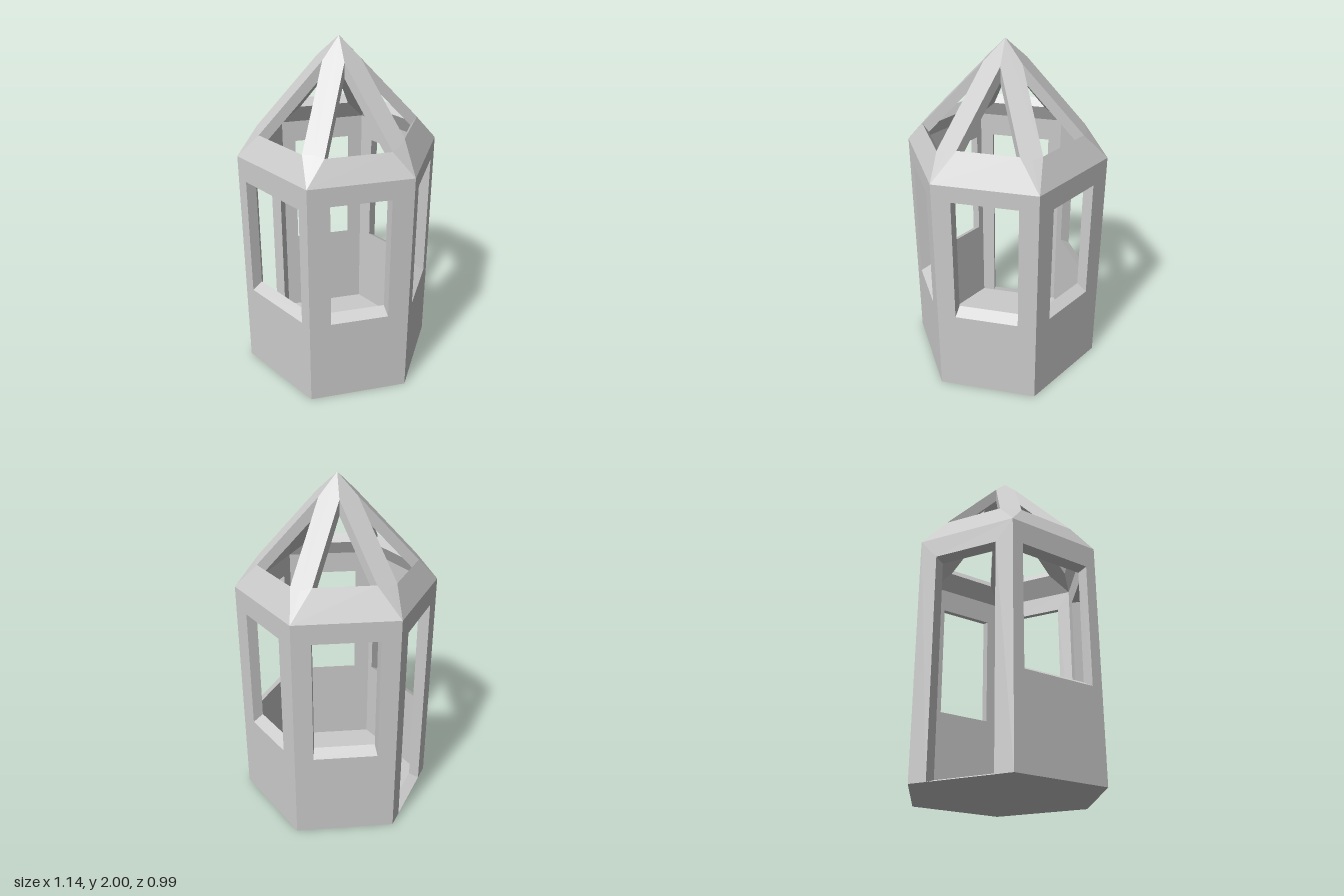
import * as THREE from 'three';

const R = 0.57, T = 0.06;            // hexagon radius, wall thickness
const D = R * Math.cos(Math.PI / 6); // distance from the axis to a wall
const EAVES = 1.37, APEX = 2, PITCH = 1.09, RIB = 0.06;
const C30 = Math.cos(Math.PI / 6);

// Joins successive closed loops of [x, y, z] points with quads
function loft(loops) {
  const pos = [];
  const tri = (...p) => {
    const [a, b, c] = p.map(q => new THREE.Vector3(...q));
    if (b.clone().sub(a).cross(c.clone().sub(a)).length() > 1e-7) pos.push(...p.flat());
  };
  for (let l = 0; l < loops.length - 1; l++) {
    const A = loops[l], B = loops[l + 1], n = A.length;
    for (let i = 0; i < n; i++) {
      const j = (i + 1) % n;
      tri(A[i], A[j], B[j]);
      tri(A[i], B[j], B[i]);
    }
  }
  const g = new THREE.BufferGeometry();
  g.setAttribute('position', new THREE.Float32BufferAttribute(pos, 3));
  g.computeVertexNormals();
  return g;
}

const rect = (h, y0, y1, z) => [[-h, y0, z], [h, y0, z], [h, y1, z], [-h, y1, z]];

// Wall panel with a slightly splayed opening
function wallPanel(width, bottom, top) {
  const innerD = D - T, door = bottom === 0;
  return loft([
    rect(R / 2, 0, EAVES, D),
    rect(width / 2, bottom, top, D),
    rect(width / 2 - 0.008, bottom + (door ? 0.02 : 0.037), top - 0.015, innerD),
    rect(innerD / Math.sqrt(3), 0.02, EAVES, innerD),
  ]);
}

// Point beside the roof rib: r along the rib, w sideways, on the given side
const ribPoint = (side, r, w, y) => [side * (r / 2 - w * C30), y, r * C30 + w / 2];

// One sixth of the roof: eaves band, two half ribs and a triangular opening
function roofPanel(sillY) {
  const outerY = r => APEX - PITCH * r;
  const innerY = r => APEX - 0.085 - PITCH * r;
  const boundary = (rc, yc, rm, height) => [
    ribPoint(-1, rc, 0, yc), ribPoint(1, rc, 0, yc),
    ribPoint(1, rm, 0, height(rm)), [0, height(0), 0], ribPoint(-1, rm, 0, height(rm)),
  ];
  const opening = (r, height) => {
    const left = ribPoint(-1, r, RIB, height(r)), right = ribPoint(1, r, RIB, height(r));
    const rTop = 2 * RIB * C30;
    return [left, right, right, ribPoint(1, rTop, RIB, height(rTop)), left];
  };
  const r = (APEX - sillY) / PITCH, rIn = (D - T) / C30;
  return loft([
    boundary(R, EAVES, 0.45, outerY),
    opening(r, outerY),
    opening(r - 0.035, innerY),
    boundary(rIn, EAVES, 0.41, innerY),
  ]);
}

export function createModel() {
  const model = new THREE.Group();
  const mat = new THREE.MeshStandardMaterial({ color: 0xcccccc, flatShading: true });
  const add = (geo, name, turn = 0) => {
    const m = new THREE.Mesh(geo, mat);
    m.name = name;
    m.rotation.y = turn;
    model.add(m);
    return m;
  };

  // Six sides, starting at the front and turning towards +x
  const sides = [
    { name: 'front', width: 0.33, bottom: 0.52, top: 1.26, sill: 1.5 },
    { name: 'frontLeft', width: 0.36, bottom: 0.52, top: 1.275, sill: 1.53 },
    { name: 'backLeft', width: 0.34, bottom: 0.52, top: 1.245, sill: 1.52 },
    { name: 'back', width: 0.36, bottom: 0.52, top: 1.255, sill: 1.53 },
    { name: 'backRight', width: 0.366, bottom: 0, top: 1.25, sill: 1.515 },
    { name: 'frontRight', width: 0.44, bottom: 0.52, top: 1.235, sill: 1.505 },
  ];
  sides.forEach((s, k) => {
    const turn = k * Math.PI / 3;
    add(wallPanel(s.width, s.bottom, s.top), s.name + (s.bottom ? 'WindowWall' : 'DoorWall'), turn);
    add(roofPanel(s.sill), s.name + 'Roof', turn);
  });

  // Floor slab
  const floor = new THREE.CylinderGeometry((D - T) / C30, R, 0.02, 6, 1, false, Math.PI / 6);
  add(floor, 'floor').position.y = 0.01;
  return model;
}
